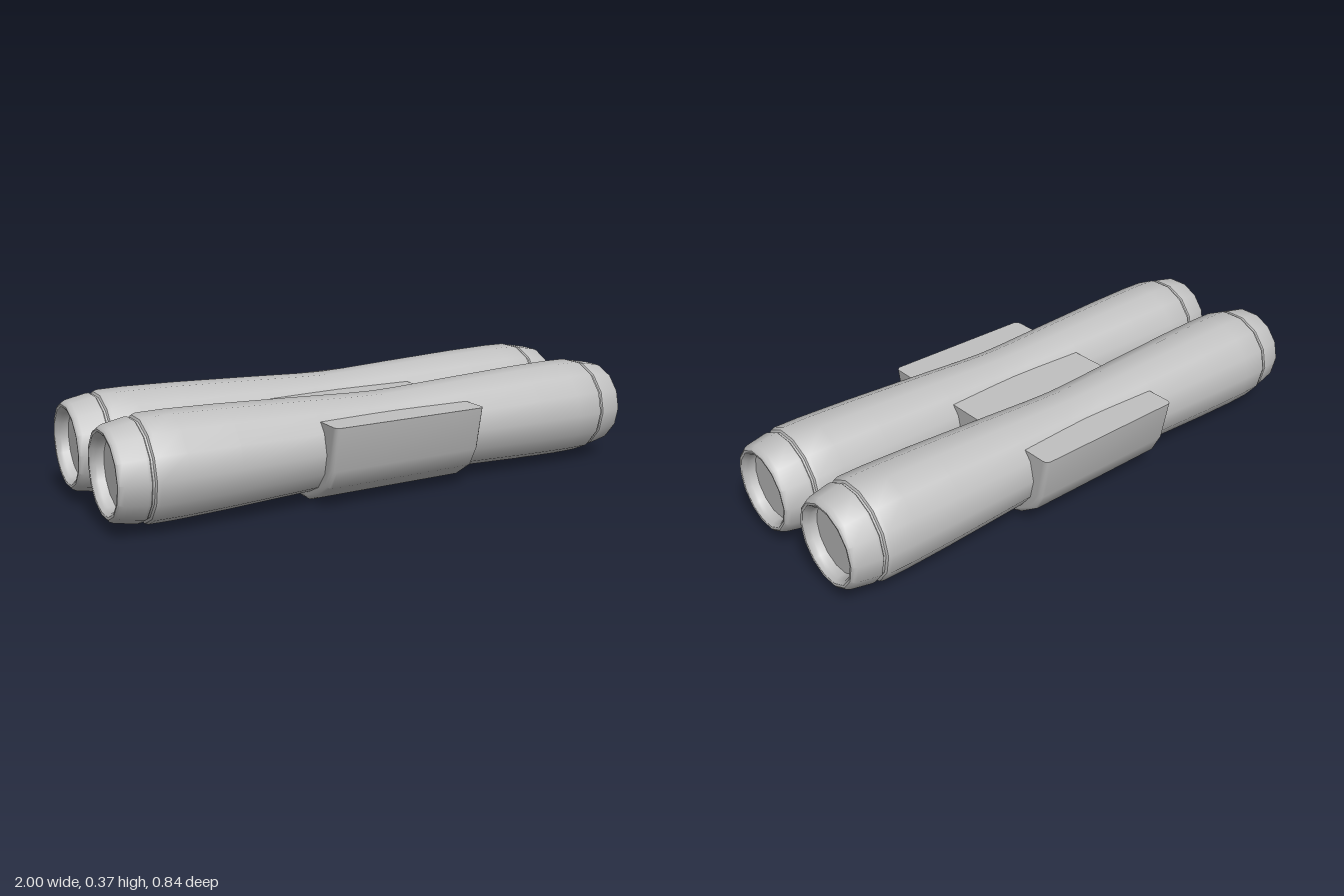
import * as THREE from 'three';
import { toCreasedNormals } from 'three/addons/utils/BufferGeometryUtils.js';

const AXIS_Y = 0.196, AXIS_Z = 0.1925, SIDES = 14;

// Waisted tube with grooved end caps and recessed end discs, along x
function tubeGeometry() {
  // half profile from the end disc to the waist: [distance along tube, radius]
  const half = [
    [0.955, 0], [0.955, 0.119], [0.98, 0.121], [0.99, 0.125], [0.999, 0.135],
    [1, 0.143], [0.995, 0.15], [0.982, 0.156], [0.91, 0.17], [0.9, 0.17],
    [0.896, 0.165], [0.889, 0.165], [0.885, 0.173], [0.872, 0.178],
    [0.78, 0.179], [0.6, 0.1745], [0.3, 0.1625], [0.1, 0.1535],
  ];
  const points = [
    ...half.map(([d, r]) => new THREE.Vector2(r, -d)),
    new THREE.Vector2(0.151, 0),
    ...half.slice().reverse().map(([d, r]) => new THREE.Vector2(r, d)),
  ];
  const geometry = new THREE.LatheGeometry(points, SIDES);
  geometry.rotateZ(-Math.PI / 2);
  return toCreasedNormals(geometry, 0.6);
}

// Open-topped double cradle: thin shell with closed ends and rounded rims
function cradleGeometry() {
  const top = 0.3, length = 0.59, bevel = 0.018;
  const side = [
    [0.42, top], [0.39, 0.145], [0.356, 0.079], [0.284, 0.029],
    [0.212, 0.002], [0.149, 0.002], [0.077, 0.029], [0.009, 0.115],
  ];
  const outline = [...side, ...side.slice().reverse().map(([z, y]) => [-z, y])];
  const shape = new THREE.Shape(outline.map(([z, y]) => new THREE.Vector2(z, y)));
  const solid = new THREE.ExtrudeGeometry(shape, {
    depth: length - 2 * bevel, bevelEnabled: true, bevelThickness: bevel,
    bevelSize: bevel, bevelOffset: -bevel, bevelSegments: 3,
  });
  solid.translate(0, 0, bevel - length / 2);
  solid.rotateY(Math.PI / 2);

  // level the upper edge, then leave out the top faces so the trough is open
  const p = solid.attributes.position;
  const kept = [];
  for (let i = 0; i < p.count; i++) if (p.getY(i) > 0.25) p.setY(i, top);
  for (let i = 0; i < p.count; i += 3) {
    const corners = [i, i + 1, i + 2];
    if (corners.every((k) => p.getY(k) === top)) continue;
    for (const k of corners) kept.push(p.getX(k), p.getY(k), p.getZ(k));
  }
  const shell = new THREE.BufferGeometry();
  shell.setAttribute('position', new THREE.Float32BufferAttribute(kept, 3));
  return toCreasedNormals(shell, 0.6);
}

export function createModel() {
  const model = new THREE.Group();
  model.name = 'twinTubes';
  const grey = new THREE.MeshStandardMaterial({ color: 0xc0c0c0, side: THREE.DoubleSide });
  grey.name = 'lightGrey';

  // Pair of tubes side by side
  const tube = tubeGeometry();
  for (const [name, sign] of [['frontTube', 1], ['backTube', -1]]) {
    const mesh = new THREE.Mesh(tube, grey);
    mesh.name = name;
    mesh.position.set(0, AXIS_Y, sign * AXIS_Z);
    model.add(mesh);
  }

  // Cradle holding both tubes
  const cradle = new THREE.Mesh(cradleGeometry(), grey);
  cradle.name = 'cradle';
  model.add(cradle);
  return model;
}
